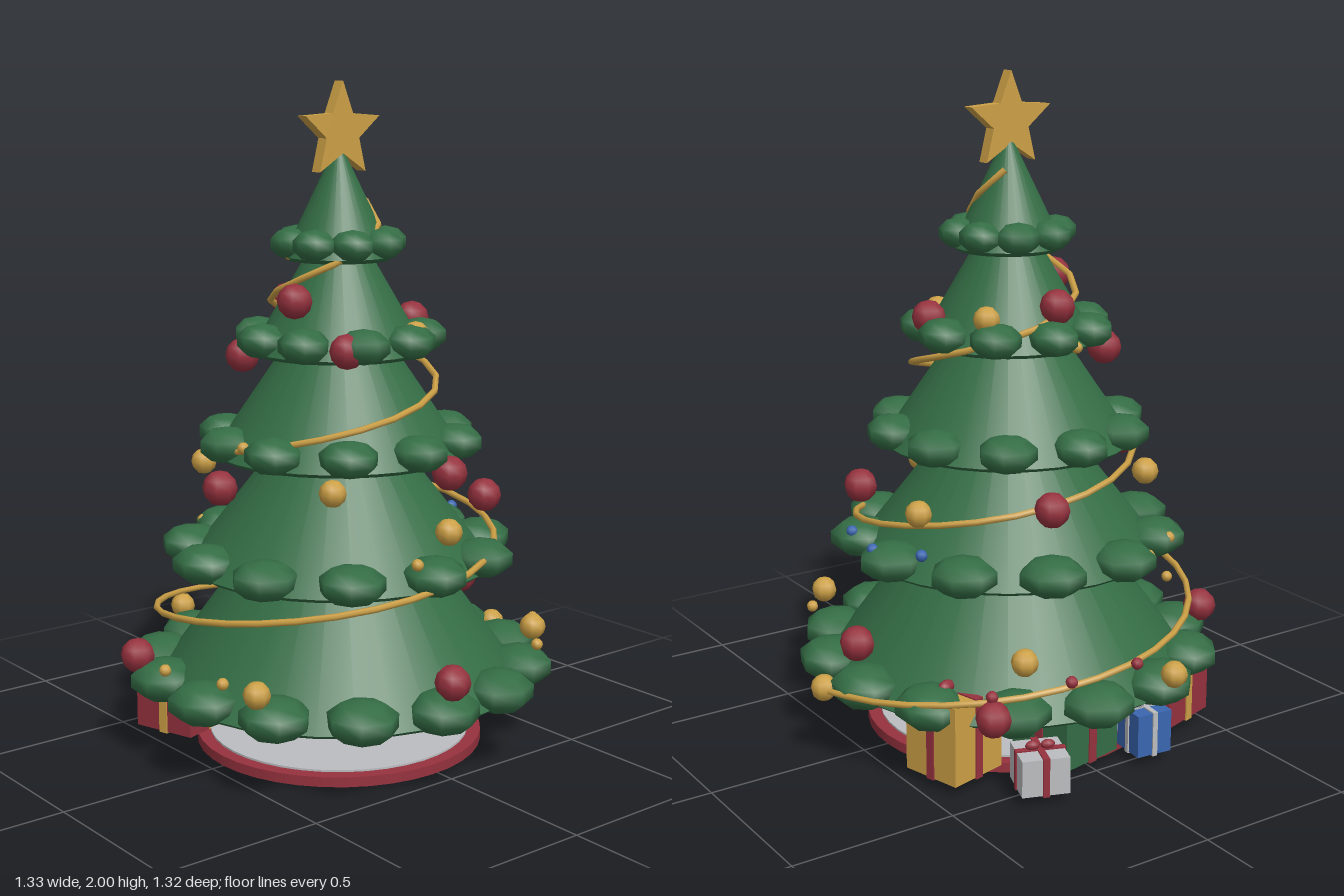
import * as THREE from 'three';

const mat = (name, color) => {
  const m = new THREE.MeshStandardMaterial({ color });
  m.name = name;
  return m;
};
const green = mat('pine green', 0x346d45);
const red = mat('deep red', 0x96323e);
const gold = mat('gold', 0xcca046);
const brown = mat('bark brown', 0x5e4540);
const silver = mat('silver', 0xbcbdc0);
const blue = mat('blue', 0x3a66b0);

const AX = -0.021; // trunk axis in x

function add(parent, name, geo, material, x = 0, y = 0, z = 0) {
  const mesh = new THREE.Mesh(geo, material);
  mesh.name = name;
  mesh.position.set(x, y, z);
  parent.add(mesh);
  return mesh;
}

// Foliage tier: cone with a narrow undercut rim and a ring of leafy clumps
function addTier(parent, i, t) {
  const tier = new THREE.Group();
  tier.name = 'foliageTier' + (i + 1);
  tier.position.x = AX;
  parent.add(tier);
  const rim = t.y - 0.04;
  const outer = [[t.r, rim], [0.001, t.apex]];
  const under = [[0, rim - 0.012], [t.r - 0.015, rim - 0.012], [t.r, rim]];
  const v = (p) => new THREE.Vector2(p[0], p[1]);
  add(tier, 'foliageCone', new THREE.LatheGeometry(outer.map(v), 32), green);
  add(tier, 'foliageUnderside', new THREE.LatheGeometry(under.map(v), 32), green);
  const clump = new THREE.SphereGeometry(1, 7, 5);
  for (let k = 0; k < t.n; k++) {
    const a = THREE.MathUtils.degToRad(t.phase + (360 * k) / t.n);
    const m = add(tier, 'leafClump', clump, green, Math.sin(a) * t.ring, t.y, Math.cos(a) * t.ring);
    m.scale.set(t.size * 1.1, t.h, t.size * 1.05);
    m.rotation.y = a + 0.4 * Math.sin(k * 2.3 + i);
  }
}

// Present with crossed ribbons and a bow
function addGift(parent, name, x, z, w, h, turn, paper, ribbon) {
  const g = new THREE.Group();
  g.name = name;
  g.position.set(x, 0.03, z);
  g.rotation.y = turn;
  parent.add(g);
  add(g, 'giftBox', new THREE.BoxGeometry(w, h, w), paper, 0, h / 2, 0);
  const band = w * 0.14, out = 0.008;
  add(g, 'ribbonAcross', new THREE.BoxGeometry(w + out, h + out, band), ribbon, 0, h / 2, 0);
  add(g, 'ribbonAlong', new THREE.BoxGeometry(band, h + out, w + out), ribbon, 0, h / 2, 0);
  for (const s of [-1, 1]) {
    const loop = add(g, 'bowLoop', new THREE.SphereGeometry(w * 0.13, 8, 6), ribbon, s * w * 0.16, h + w * 0.1, 0);
    loop.scale.set(1.2, 0.8, 0.7);
  }
}

// Balls of one size and colour at listed points
function addBalls(parent, name, radius, material, points) {
  const geo = new THREE.SphereGeometry(radius, 8, 6);
  for (const [x, y, z] of points) add(parent, name, geo, material, x, y, z);
}

export function createModel() {
  const tree = new THREE.Group();
  tree.name = 'decoratedTree';

  // Base mat and trunk
  add(tree, 'matRim', new THREE.CylinderGeometry(0.44, 0.44, 0.03, 40), red, AX, 0.015, 0);
  add(tree, 'matTop', new THREE.CylinderGeometry(0.4, 0.4, 0.008, 40), silver, AX, 0.032, 0);
  add(tree, 'trunk', new THREE.CylinderGeometry(0.06, 0.07, 0.3, 12), brown, AX, 0.18, 0);

  // Five tiers of foliage
  [
    { y: 0.24, r: 0.565, apex: 0.97, n: 14, phase: -6, ring: 0.555, size: 0.1, h: 0.063 },
    { y: 0.605, r: 0.465, apex: 1.16, n: 11, phase: -1, ring: 0.45, size: 0.094, h: 0.058 },
    { y: 0.945, r: 0.378, apex: 1.46, n: 10, phase: 2, ring: 0.355, size: 0.083, h: 0.055 },
    { y: 1.25, r: 0.262, apex: 1.66, n: 9, phase: -22, ring: 0.25, size: 0.074, h: 0.053 },
    { y: 1.53, r: 0.165, apex: 1.83, n: 8, phase: -22, ring: 0.145, size: 0.062, h: 0.047 },
  ].forEach((t, i) => addTier(tree, i, t));

  // Spiral garland, flaring slightly at its lower end
  const path = [];
  for (let k = 0; k <= 64; k++) {
    const y = 0.23 + (1.49 * k) / 64;
    const a = ((y - 0.23) / 0.475) * Math.PI * 2;
    const r = 0.545 - 0.377 * (y - 0.46) + 0.25 * Math.max(0, 0.33 - y);
    path.push(new THREE.Vector3(AX + r * Math.cos(a), y, -r * Math.sin(a)));
  }
  add(tree, 'garland', new THREE.TubeGeometry(new THREE.CatmullRomCurve3(path), 64, 0.01, 6), gold);

  // Ornaments
  addBalls(tree, 'redBauble', 0.052, red, [
    [-0.6, 0.31, -0.24], [-0.445, 0.84, -0.02], [-0.235, 1.375, 0.065], [-0.035, 1.34, -0.235],
    [0.11, 0.8, -0.42], [0.37, 0.26, -0.51], [0.56, 0.385, -0.08], [0.225, 1.29, 0.05],
    [0.36, 0.75, 0.24], [0.07, 0.885, 0.4], [-0.1, 0.345, 0.61], [-0.165, 1.24, 0.22],
    [-0.24, 1.19, -0.19],
  ]);
  addBalls(tree, 'goldBauble', 0.04, gold, [
    [-0.19, 0.3, -0.615], [0.265, 0.405, -0.51], [-0.27, 0.84, -0.36], [0.395, 0.77, -0.16],
    [0.63, 0.235, 0], [0.16, 1.31, -0.16], [-0.21, 1.23, -0.135], [-0.555, 0.325, 0.305],
    [-0.29, 0.86, 0.31], [0.015, 0.73, 0.46], [0.4, 0.365, 0.42], [0.08, 1.27, 0.235],
  ]);

  // Small lights
  addBalls(tree, 'goldLight', 0.018, gold, [
    [-0.2, 0.62, -0.475], [-0.355, 0.62, -0.375], [0.145, 0.95, -0.345], [-0.645, 0.33, -0.02],
    [-0.6, 0.34, 0.205], [0.49, 0.355, 0.33], [0.34, 0.34, 0.5], [-0.12, 0.66, 0.48],
    [-0.17, 1.5, -0.045], [-0.4, 0.96, 0.035], [-0.08, 1.22, -0.27], [0.23, 1.23, 0.12],
  ]);
  addBalls(tree, 'redLight', 0.018, red, [[-0.06, 0.36, -0.605], [0.365, 0.32, -0.495], [0.16, 0.35, -0.59]]);
  addBalls(tree, 'blueLight', 0.018, blue, [[0.42, 0.665, -0.215], [0.48, 0.645, -0.04], [0.44, 0.64, 0.155]]);

  // Presents around the back
  addGift(tree, 'redGift', -0.385, -0.315, 0.21, 0.17, 0.3, red, gold);
  addGift(tree, 'blueGift', -0.175, -0.5, 0.115, 0.13, -0.1, blue, silver);
  addGift(tree, 'greenGift', 0.03, -0.38, 0.22, 0.18, 0.2, green, red);
  addGift(tree, 'silverGift', 0.225, -0.53, 0.14, 0.11, -0.35, silver, red);
  addGift(tree, 'goldGift', 0.365, -0.295, 0.195, 0.24, 0.25, gold, red);

  // Five-pointed star
  const star = new THREE.Shape();
  for (let k = 0; k < 10; k++) {
    const r = k % 2 ? 0.064 : 0.145;
    const a = Math.PI / 2 + (k * Math.PI) / 5;
    star[k ? 'lineTo' : 'moveTo'](r * Math.cos(a), r * Math.sin(a));
  }
  star.closePath();
  const starGeo = new THREE.ExtrudeGeometry(star, { depth: 0.04, bevelEnabled: false });
  add(tree, 'topStar', starGeo, gold, AX, 1.855, -0.018);

  return tree;
}
